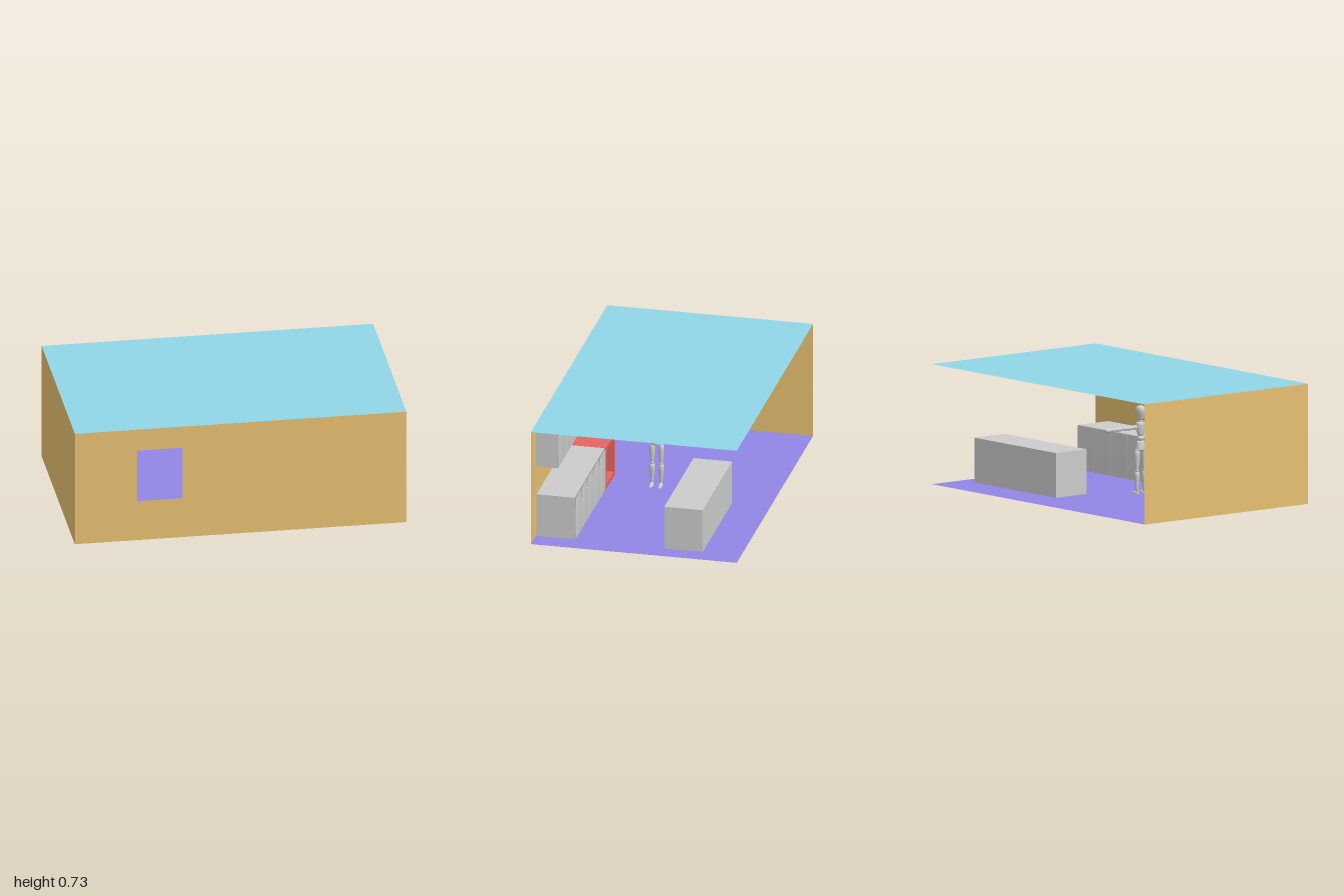
import * as THREE from 'three';
import { mergeVertices } from 'three/addons/utils/BufferGeometryUtils.js';

const mat = (color, side = THREE.FrontSide) => new THREE.MeshStandardMaterial({ color, side });
const grey = mat(0xcccccc);
const wallMat = mat(0xe6bf70, THREE.DoubleSide);
const H = 0.725, D = 0.63;

function add(parent, name, geometry, material, x = 0, y = 0, z = 0) {
  const mesh = new THREE.Mesh(geometry, material);
  mesh.name = name;
  mesh.position.set(x, y, z);
  parent.add(mesh);
  return mesh;
}

// Box given by its minimum and maximum corners
function block(parent, name, material, x0, x1, y0, y1, z0, z1) {
  return add(parent, name, new THREE.BoxGeometry(x1 - x0, y1 - y0, z1 - z0), material,
    (x0 + x1) / 2, (y0 + y1) / 2, (z0 + z1) / 2);
}

function rect(Type, x0, x1, y0, y1) {
  const s = new Type();
  s.moveTo(x0, y0);
  s.lineTo(x1, y0);
  s.lineTo(x1, y1);
  s.lineTo(x0, y1);
  s.closePath();
  return s;
}

// Door slab with a bevelled -z face and softly shaded edges
function doorGeometry(w, h, t) {
  const g = new THREE.BoxGeometry(w, h, t);
  g.deleteAttribute('normal');
  g.deleteAttribute('uv');
  const p = g.attributes.position, inset = 0.006;
  for (let i = 0; i < p.count; i++) {
    if (p.getZ(i) < 0) {
      p.setX(i, p.getX(i) - Math.sign(p.getX(i)) * inset);
      p.setY(i, p.getY(i) - Math.sign(p.getY(i)) * inset);
    }
  }
  const m = mergeVertices(g);
  m.computeVertexNormals();
  return m;
}

// Row of cabinets running along the front wall
function cabinetRow(name, x0, x1, y0, y1, zFront, zBack, count) {
  const row = new THREE.Group();
  row.name = name;
  const t = 0.008, w = (x1 - x0) / count;
  block(row, name + 'Body', grey, x0, x1, y0, y1, zFront + t, zBack);
  const door = doorGeometry(w, y1 - y0, t);
  for (let i = 0; i < count; i++) {
    add(row, name + 'Door', door, grey, x0 + w * (i + 0.5), (y0 + y1) / 2, zFront + t / 2);
  }
  return row;
}

// Rounded body part from [radius, height] pairs, flattened front to back
function turned(parent, name, profile, depth = 1) {
  const curve = new THREE.SplineCurve(profile.map(([r, y]) => new THREE.Vector2(r, y)));
  const pts = curve.getPoints(14).map(p => new THREE.Vector2(Math.max(0, p.x), p.y));
  const mesh = add(parent, name, new THREE.LatheGeometry(pts, 18), grey);
  mesh.scale.x = depth;
  return mesh;
}

// Spindle-shaped limb of length l starting at the origin and running up
const limb = (parent, name, l, r0, r1) =>
  turned(parent, name, [[0, 0], [r0 * 0.75, l * 0.04], [r0, l * 0.3], [r1, l * 0.75], [r1 * 0.75, l * 0.96], [0, l]]);

function ball(parent, name, r, x, y, z) {
  return add(parent, name, new THREE.SphereGeometry(r, 16, 12), grey, x, y, z);
}

// Jointed figure with arms held out, facing +x
function createFigure() {
  const fig = new THREE.Group();
  fig.name = 'figure';
  turned(fig, 'head', [[0, 0.443], [0.014, 0.447], [0.021, 0.467], [0.029, 0.497], [0.024, 0.523], [0, 0.535]], 1.1);
  add(fig, 'neck', new THREE.CylinderGeometry(0.012, 0.014, 0.035, 16), grey, 0, 0.44, 0);
  turned(fig, 'chest', [[0, 0.347], [0.019, 0.351], [0.028, 0.385], [0.031, 0.415], [0.026, 0.432], [0, 0.435]], 0.75);
  ball(fig, 'abdomen', 0.022, 0, 0.335, 0).scale.set(0.85, 0.8, 1);
  turned(fig, 'pelvis', [[0, 0.262], [0.03, 0.264], [0.033, 0.275], [0.027, 0.305], [0.021, 0.318], [0, 0.321]], 0.75);

  for (const s of [-1, 1]) {
    const arm = new THREE.Group();
    arm.name = s > 0 ? 'armA' : 'armB';
    arm.position.set(0, 0.404, 0);
    arm.rotation.x = s * Math.PI / 2;
    fig.add(arm);
    ball(arm, 'shoulder', 0.015, 0, 0.043, 0);
    limb(arm, 'upperArm', 0.083, 0.014, 0.012).position.y = 0.053;
    ball(arm, 'elbow', 0.011, 0, 0.14, 0);
    limb(arm, 'forearm', 0.08, 0.014, 0.01).position.y = 0.146;
    ball(arm, 'wrist', 0.009, 0, 0.227, 0);
    limb(arm, 'hand', 0.042, 0.013, 0.011).position.y = 0.228;

    const leg = new THREE.Group();
    leg.name = s > 0 ? 'legA' : 'legB';
    leg.position.z = s * 0.028;
    fig.add(leg);
    ball(leg, 'hip', 0.015, 0, 0.262, -s * 0.004);
    limb(leg, 'thigh', 0.12, 0.014, 0.018).position.y = 0.145;
    ball(leg, 'knee', 0.012, 0, 0.142, 0);
    limb(leg, 'shin', 0.12, 0.012, 0.017).position.y = 0.018;
    ball(leg, 'ankle', 0.009, 0, 0.02, 0);
    // Wedge foot: flat sole, lower toward the toe
    const foot = new THREE.SphereGeometry(1, 16, 12);
    foot.scale(0.04, 0.018, 0.013);
    const p = foot.attributes.position;
    for (let i = 0; i < p.count; i++) {
      p.setY(i, Math.max(0, p.getY(i)) * (1 - p.getX(i) * 8));
    }
    foot.computeVertexNormals();
    add(leg, 'foot', foot, grey, 0.02, 0, 0);
  }
  return fig;
}

export function createModel() {
  const room = new THREE.Group();
  room.name = 'kitchen';

  // Room shell, open at the back and the left
  const slab = new THREE.PlaneGeometry(2, 2 * D).rotateX(-Math.PI / 2);
  add(room, 'floor', slab, mat(0x9086e6, THREE.DoubleSide), 0, 0.001, 0);
  add(room, 'ceiling', slab, mat(0x8fd6e6, THREE.DoubleSide), 0, H, 0);
  const front = rect(THREE.Shape, -1, 1, 0, H);
  front.holes.push(rect(THREE.Path, -0.625, -0.35, 0.255, 0.587));
  add(room, 'windowWall', new THREE.ShapeGeometry(front), wallMat, 0, 0, D);
  add(room, 'sideWall', new THREE.PlaneGeometry(2 * D, H).rotateY(-Math.PI / 2), wallMat, -1, H / 2, 0);

  // Cabinets, island and fridge
  room.add(cabinetRow('baseCabinet', 0.092, 0.874, 0.002, 0.272, 0.384, 0.625, 5));
  room.add(cabinetRow('wallCabinet', 0.107, 0.872, 0.452, H - 0.001, 0.49, 0.628, 5));
  block(room, 'island', grey, 0.12, 0.887, 0.002, 0.272, -0.395, -0.16);
  block(room, 'fridge', mat(0xe3ea75), -0.965, -0.728, 0.002, 0.587, -0.155, 0.08);

  // Oven: open-fronted casing with a back panel
  const oven = new THREE.Group();
  oven.name = 'oven';
  room.add(oven);
  const red = mat(0xe66460);
  const casing = rect(THREE.Shape, -0.149, 0.09, 0, 0.272);
  casing.holes.push(rect(THREE.Path, -0.127, 0.068, 0.03, 0.245));
  add(oven, 'ovenCasing', new THREE.ExtrudeGeometry(casing, { depth: 0.24, bevelEnabled: false }), red, 0, 0, 0.385);
  block(oven, 'ovenBack', red, -0.127, 0.068, 0.03, 0.245, 0.6, 0.624);

  // Standing figure
  const figure = createFigure();
  figure.position.set(-0.062, 0, 0.108);
  room.add(figure);
  return room;
}
